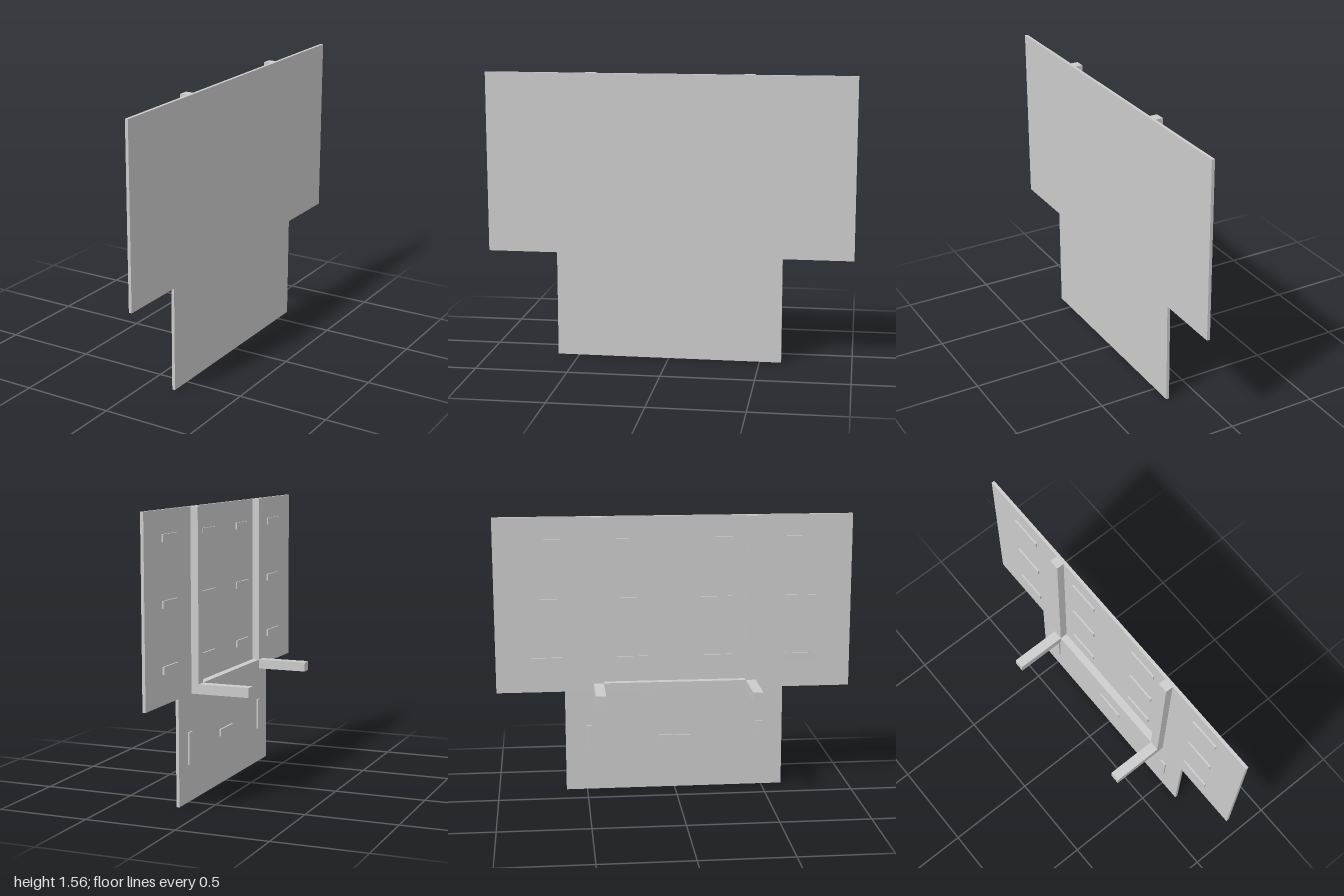
import * as THREE from 'three';

const grey = new THREE.MeshStandardMaterial({ color: 0xcccccc, flatShading: true });

// Extrudes an outline drawn in (z, y) along x, from x0 to x1
function extrudeAlongX(points, x0, x1) {
  const shape = new THREE.Shape(points.map(([z, y]) => new THREE.Vector2(-z, y)));
  const geo = new THREE.ExtrudeGeometry(shape, { depth: x1 - x0, bevelEnabled: false });
  return geo.rotateY(Math.PI / 2).translate(x0, 0, 0);
}

function addMesh(parent, name, geometry) {
  const mesh = new THREE.Mesh(geometry, grey);
  mesh.name = name;
  parent.add(mesh);
  return mesh;
}

function addBox(parent, name, w, h, d, x, y, z) {
  addMesh(parent, name, new THREE.BoxGeometry(w, h, d)).position.set(x, y, z);
}

export function createModel() {
  const model = new THREE.Group();
  model.name = 'panelWithBracket';

  const back = 0.154, face = 0.171; // panel thickness in x
  const top = 1.562, shoulder = 0.577, half = 0.618;

  // Stepped panel: wide upper part, narrower lower part
  addMesh(model, 'panel', extrudeAlongX([
    [-half, 0], [half, 0], [half, shoulder], [1, shoulder],
    [1, top], [-1, top], [-1, shoulder], [-half, shoulder],
  ], back, face));

  // L-shaped brackets: upright post and projecting arm
  const frame = new THREE.Group();
  frame.name = 'bracketFrame';
  model.add(frame);
  const bar = 0.056, postX = 0.112, armX = -0.171, barZ = 0.429;
  const profile = new THREE.Shape([
    [armX, shoulder], [back, shoulder], [back, top],
    [postX, top], [postX, shoulder + bar - 0.003], [armX, shoulder + bar - 0.003],
  ].map(([x, y]) => new THREE.Vector2(x, y)));
  for (const side of [-1, 1]) {
    const geo = new THREE.ExtrudeGeometry(profile, { depth: bar, bevelEnabled: false });
    geo.translate(0, 0, side * barZ - bar / 2);
    addMesh(frame, side > 0 ? 'frontBracket' : 'rearBracket', geo);
  }

  // Cross rail between the brackets
  addBox(frame, 'crossRail', back - postX, bar - 0.003, 2 * barZ - bar,
    (back + postX) / 2, shoulder + (bar - 0.003) / 2, 0);

  // Thin raised strips on the bracket side of the panel
  const strips = new THREE.Group();
  strips.name = 'strips';
  model.add(strips);
  const long = 0.175, short = 0.039, thick = 0.009, stripX = back - thick / 2;
  for (const y of [0.755, 1.088, 1.421])
    for (const z of [-0.715, -0.238, 0.238, 0.715])
      addBox(strips, 'upperStrip', thick, short, long, stripX, y, z);
  addBox(strips, 'lowerStrip', thick, short, long, stripX, 0.29, 0);
  for (const z of [-0.488, 0.484])
    addBox(strips, 'verticalStrip', thick, long, short, stripX, 0.29, z);

  return model;
}
